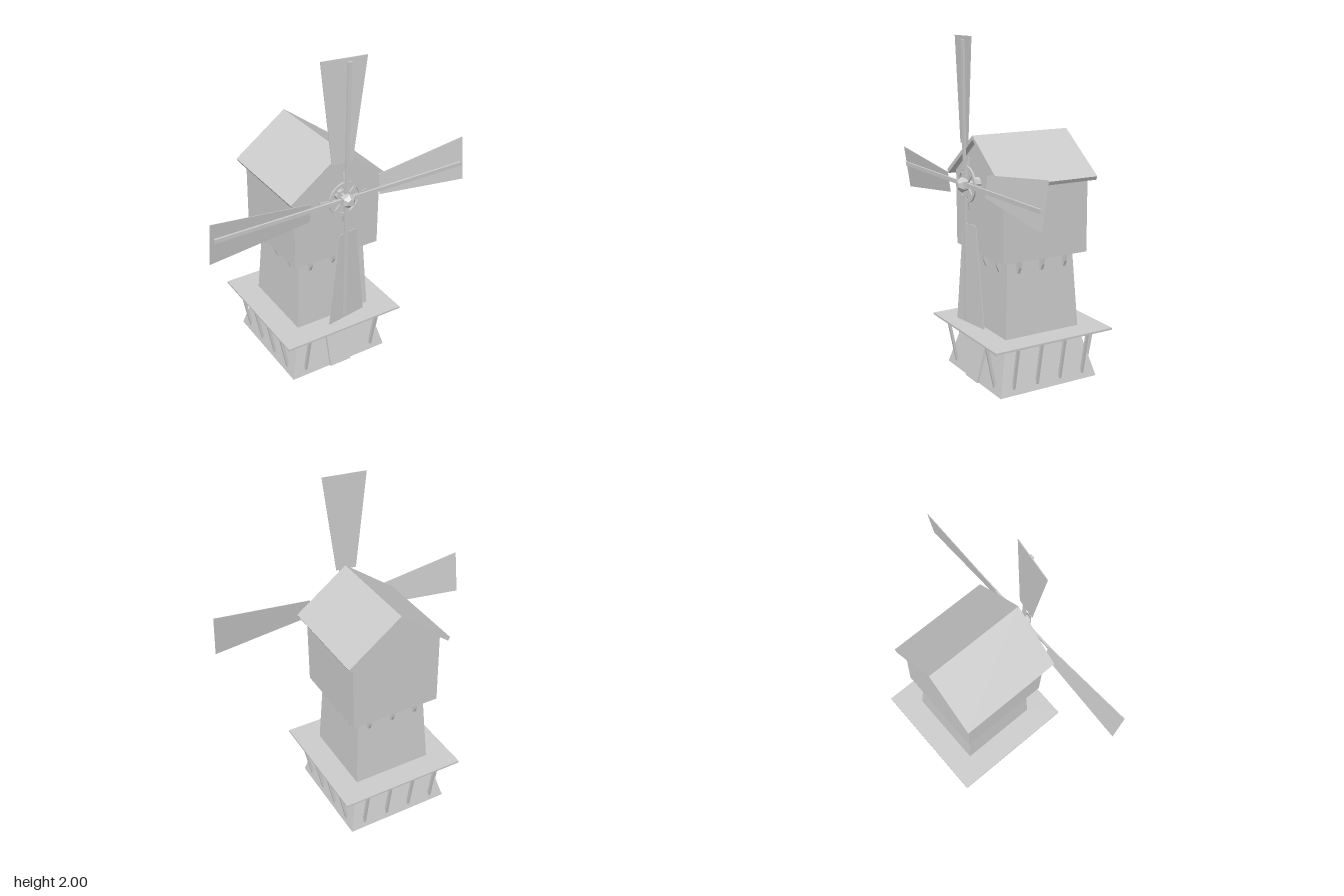
import * as THREE from 'three';

const mat = new THREE.MeshStandardMaterial({ color: 0xcccccc, flatShading: true, side: THREE.DoubleSide });
const ZC = -0.013; // centre of the tower in z
const HUB_Y = 1.18;

function add(parent, name, geo, x = 0, y = 0, z = 0) {
  const m = new THREE.Mesh(geo, mat);
  m.name = name;
  m.position.set(x, y, z);
  parent.add(m);
  return m;
}

// Square frustum given half widths
function frustum(bottom, top, h) {
  const g = new THREE.CylinderGeometry(top * Math.SQRT2, bottom * Math.SQRT2, h, 4, 1, false, Math.PI / 4);
  return g.translate(0, h / 2, 0);
}

// Outline extruded symmetrically in z
function slab(points, depth) {
  const shape = new THREE.Shape(points.map(p => new THREE.Vector2(...p)));
  return new THREE.ExtrudeGeometry(shape, { depth, bevelEnabled: false }).translate(0, 0, -depth / 2);
}

// Square bar between two points
function bar(a, b, w, d = w) {
  const p = new THREE.Vector3(...a), q = new THREE.Vector3(...b);
  const g = new THREE.BoxGeometry(w, d, p.distanceTo(q));
  g.applyMatrix4(new THREE.Matrix4().lookAt(p, q, new THREE.Vector3(0, 1, 0)));
  const c = p.add(q).multiplyScalar(0.5);
  return g.translate(c.x, c.y, c.z);
}

// Cylinder along z between two depths
function axial(r0, r1, z0, z1, sides) {
  return new THREE.CylinderGeometry(r1, r0, z1 - z0, sides).rotateX(Math.PI / 2).translate(0, 0, (z0 + z1) / 2);
}

function createTower() {
  const tower = new THREE.Group();
  tower.name = 'tower';
  tower.position.z = ZC;

  add(tower, 'base', frustum(0.327, 0.246, 0.305));
  add(tower, 'shaft', frustum(0.246, 0.219, 0.465), 0, 0.302);
  add(tower, 'balcony', new THREE.BoxGeometry(0.784, 0.012, 0.784), 0, 0.302);

  // Door leaning against the sloped base
  const door = add(tower, 'door', new THREE.BoxGeometry(0.142, 0.21, 0.016), 0, 0.104, 0.308);
  door.rotation.x = -Math.atan2(0.081, 0.305);

  // Balcony struts and cabin brackets on all four sides
  const bracket = slab([[0.2, 0.77], [0.258, 0.77], [0.252, 0.72], [0.236, 0.685], [0.215, 0.685]], 0.015);
  for (let side = 0; side < 4; side++) {
    const face = new THREE.Group();
    face.name = 'towerSide';
    face.rotation.y = side * Math.PI / 2;
    tower.add(face);
    for (const x of [-0.234, -0.078, 0.078, 0.234]) {
      if (side === 0 && Math.abs(x) < 0.1) continue; // the door stands here
      add(face, 'balconyStrut', bar([x, 0.035, 0.313], [x, 0.298, 0.366], 0.016));
    }
    for (const x of [-0.153, 0, 0.153]) {
      add(face, 'cabinBracket', bracket, x, 0, 0).rotation.y = -Math.PI / 2;
    }
  }
  return tower;
}

function createCabin() {
  const cabin = new THREE.Group();
  cabin.name = 'cabin';
  cabin.position.z = ZC;
  add(cabin, 'cabinWalls', slab([[-0.279, 0.764], [0.279, 0.764], [0.279, 1.224], [0, 1.43], [-0.279, 1.224]], 0.556));
  for (const s of [-1, 1]) {
    add(cabin, 'roofSlope', slab([[0, 1.452], [s * 0.323, 1.212], [s * 0.311, 1.19], [0, 1.428]], 0.63));
  }
  return cabin;
}

function createRotor() {
  const rotor = new THREE.Group();
  rotor.name = 'rotor';
  rotor.position.y = HUB_Y;

  // Axle, collar and hexagonal hub
  add(rotor, 'axle', axial(0.018, 0.018, 0.25, 0.37, 10));
  add(rotor, 'collar', axial(0.034, 0.034, 0.255, 0.308, 8));
  add(rotor, 'hub', axial(0.042, 0.042, 0.348, 0.38, 6));
  add(rotor, 'hubCap', axial(0.042, 0.02, 0.38, 0.4, 6));

  // Flat ring wheel behind the spars
  const rim = new THREE.Shape().absarc(0, 0, 0.105, 0, Math.PI * 2, false);
  rim.holes.push(new THREE.Path().absarc(0, 0, 0.086, 0, Math.PI * 2, true));
  add(rotor, 'wheelRim', new THREE.ExtrudeGeometry(rim, { depth: 0.01, bevelEnabled: false, curveSegments: 14 }), 0, 0, 0.335);

  // Sail panel, pitched about its spar
  const panel = slab([[0.225, -0.036], [0.82, -0.106], [0.82, 0.155], [0.225, 0.085]], 0.004).rotateX(-0.0);
  const pos = panel.attributes.position;
  for (let i = 0; i < pos.count; i++) pos.setZ(i, pos.getZ(i) + 0.343 - 0.14 * pos.getY(i));
  panel.computeVertexNormals();

  for (let i = 0; i < 4; i++) {
    const arm = new THREE.Group();
    arm.name = 'sailArm';
    arm.rotation.z = i * Math.PI / 2;
    rotor.add(arm);
    add(arm, 'sail', panel);
    add(arm, 'spar', new THREE.BoxGeometry(0.8, 0.023, 0.012), 0.4, 0, 0.354);
    add(arm, 'stay', bar([0.02, 0, 0.346], [0.153, 0, 0.322], 0.006, 0.016));
    // Diagonal wheel spoke
    const c = Math.SQRT1_2;
    add(arm, 'wheelSpoke', bar([0.02 * c, 0.02 * c, 0.34], [0.09 * c, 0.09 * c, 0.34], 0.008, 0.012));
  }
  return rotor;
}

export function createModel() {
  const model = new THREE.Group();
  model.name = 'windmill';
  model.add(createTower(), createCabin(), createRotor());
  return model;
}
